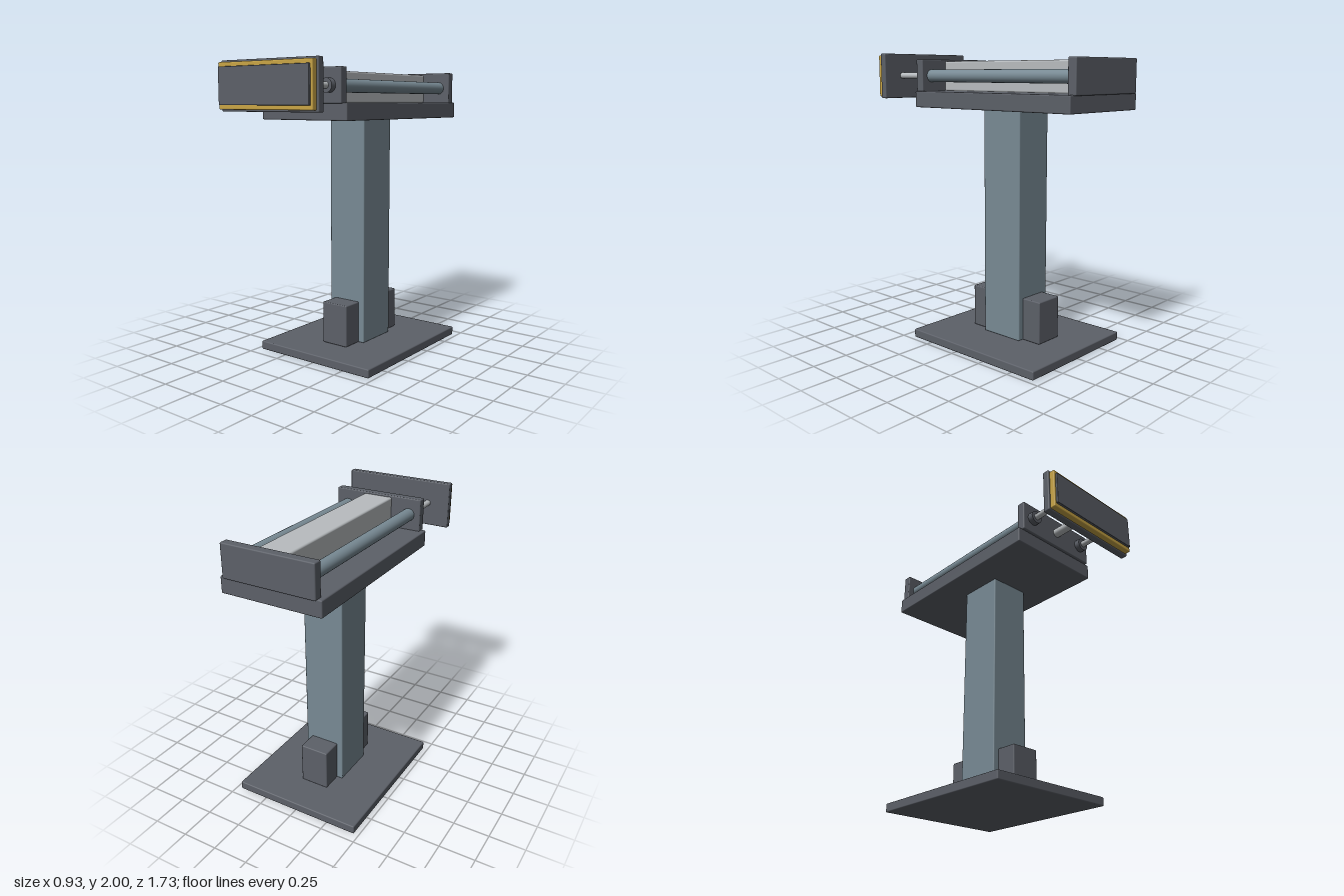
import * as THREE from 'three';
import { RoundedBoxGeometry } from 'three/addons/geometries/RoundedBoxGeometry.js';

function material(name, color) {
  const m = new THREE.MeshStandardMaterial({ color });
  m.name = name;
  return m;
}

export function createModel() {
  const dark = material('dark grey metal', 0x5c6068);
  const blue = material('blue grey metal', 0x788a94);
  const light = material('light grey metal', 0xb8bcbf);
  const yellow = material('yellow', 0xc9a545);

  const model = new THREE.Group();
  model.name = 'pedestalPress';

  // Box with small bevels, given by its extents on each axis
  function box(name, mat, [x0, x1], [y0, y1], [z0, z1], bevel = 0.008) {
    const g = new RoundedBoxGeometry(x1 - x0, y1 - y0, z1 - z0, 2, bevel);
    const mesh = new THREE.Mesh(g, mat);
    mesh.name = name;
    mesh.position.set((x0 + x1) / 2, (y0 + y1) / 2, (z0 + z1) / 2);
    model.add(mesh);
  }

  // Round bar running along z
  const axisY = 1.845;
  function bar(name, mat, x, radius, z0, z1) {
    const g = new THREE.CylinderGeometry(radius, radius, z1 - z0, 32).rotateX(Math.PI / 2);
    const mesh = new THREE.Mesh(g, mat);
    mesh.name = name;
    mesh.position.set(x, axisY, (z0 + z1) / 2);
    model.add(mesh);
  }

  // Stand
  box('basePlate', dark, [-0.465, 0.465], [0, 0.06], [-0.685, 0.42]);
  box('column', blue, [-0.145, 0.145], [0.06, 1.635], [-0.29, 0.03]);
  box('frontFootBlock', dark, [-0.103, 0.103], [0.06, 0.355], [0.025, 0.175]);
  box('backFootBlock', dark, [-0.103, 0.103], [0.06, 0.355], [-0.435, -0.285]);

  // Carriage bed and end plates
  box('bed', dark, [-0.35, 0.35], [1.63, 1.74], [-0.848, 0.493]);
  box('frontEndPlate', dark, [-0.32, 0.32], [1.735, 1.957], [0.448, 0.511]);
  box('backEndPlate', dark, [-0.32, 0.32], [1.735, 1.957], [-0.865, -0.803]);

  // Central cylinder body and its piston rod
  box('cylinderBody', light, [-0.105, 0.105], [1.738, 1.945], [-0.81, 0.455], 0.012);
  bar('pistonRod', light, 0, 0.031, 0.5, 0.77);

  // Guide tubes, collars and guide rods on both sides
  for (const [side, s] of [['left', 1], ['right', -1]]) {
    const x = s * 0.235;
    bar(side + 'GuideTube', blue, x, 0.043, -0.81, 0.455);
    bar(side + 'Collar', dark, x, 0.045, 0.5, 0.55);
    bar(side + 'GuideRod', light, x, 0.021, 0.54, 0.77);
  }

  // Push head: backing plate, yellow layer and front pad
  box('headPlate', dark, [-0.393, 0.393], [1.685, 2], [0.763, 0.812]);
  box('headBorder', yellow, [-0.38, 0.38], [1.697, 1.987], [0.808, 0.85]);
  box('headPad', dark, [-0.366, 0.366], [1.725, 1.96], [0.84, 0.865], 0.004);

  return model;
}
